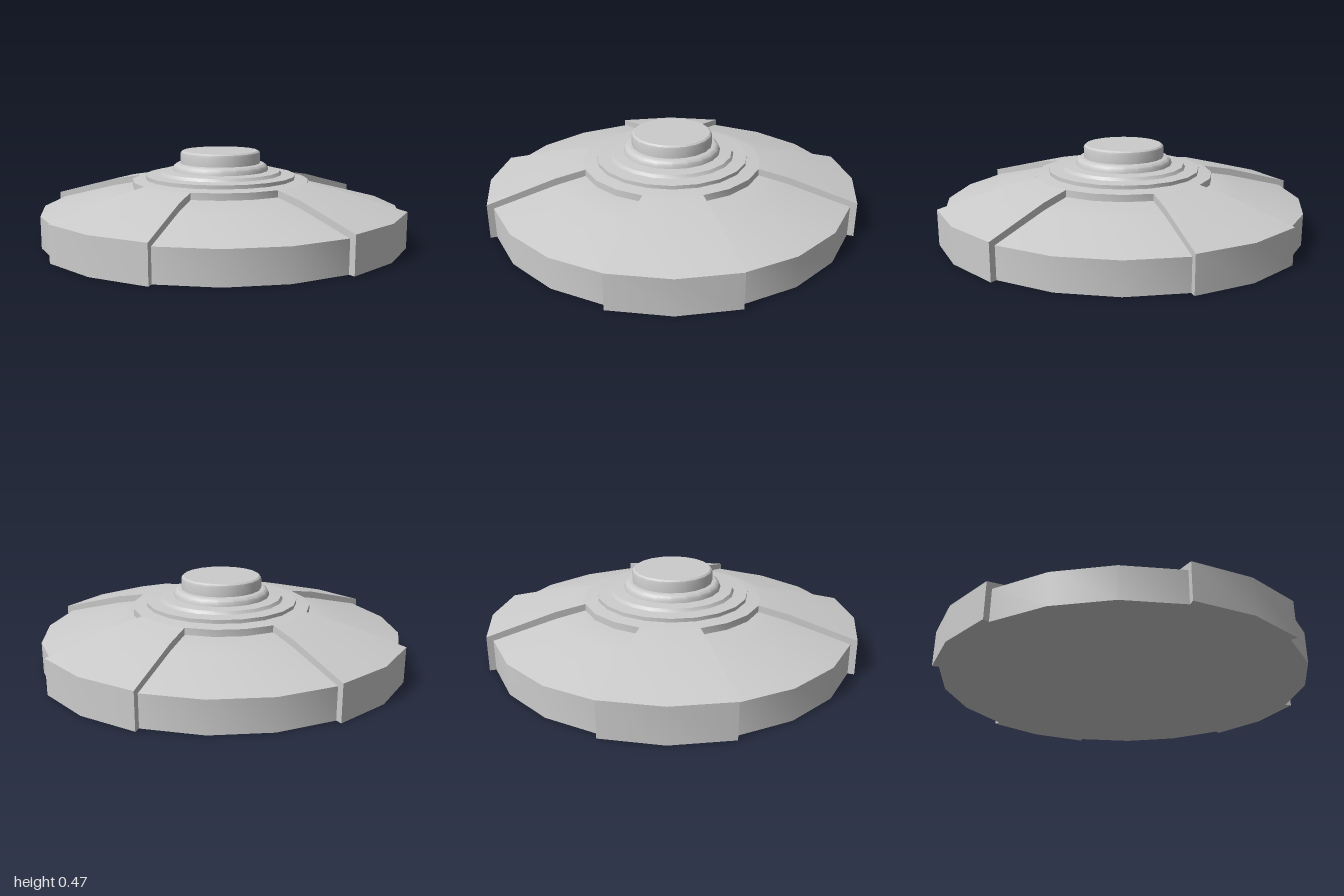
import * as THREE from 'three';
import { toCreasedNormals } from 'three/addons/utils/BufferGeometryUtils.js';

const SIDES = 20;
const STEP = (Math.PI * 2) / SIDES;

const material = new THREE.MeshStandardMaterial({ color: 0xcccccc });
const wallMaterial = new THREE.MeshStandardMaterial({ color: 0xcccccc, side: THREE.DoubleSide });

const toPoints = (profile) => profile.map(([r, y]) => new THREE.Vector2(r, y));

// Revolved part with sharp steps and smooth facets
function lathe(name, profile, segments = SIDES, start = 0) {
  const geometry = new THREE.LatheGeometry(toPoints(profile), segments, start, segments * STEP);
  const mesh = new THREE.Mesh(toCreasedNormals(geometry, Math.PI / 6), material);
  mesh.name = name;
  return mesh;
}

// Raised panel two facets wide, with a thin wall down to the body on either side
function raisedPanel(lower, upper) {
  const panel = new THREE.Group();
  panel.name = 'raisedPanel';
  panel.add(lathe('panelShell', [lower[0], ...upper], 2, -STEP));
  const section = new THREE.Shape(toPoints([...upper, ...[...lower].reverse()]));
  for (const side of [-1, 1]) {
    const wall = new THREE.Mesh(new THREE.ShapeGeometry(section), wallMaterial);
    wall.name = 'panelSideWall';
    wall.rotation.y = side * STEP - Math.PI / 2;
    panel.add(wall);
  }
  return panel;
}

export function createModel() {
  const model = new THREE.Group();
  model.name = 'steppedDisc';

  // Recessed body and the raised outline above it, as [radius, height]
  const lower = [[0.966, 0], [0.966, 0.166], [0.64, 0.25], [0.48, 0.28]];
  const upper = [[1, 0], [1, 0.19], [0.64, 0.288], [0.48, 0.316]];
  model.add(lathe('body', [[0, 0], ...lower, [0.46, 0.28]]));

  // Four raised panels, one on each axis
  for (let i = 0; i < 4; i++) {
    const panel = raisedPanel(lower, upper);
    panel.rotation.y = (i * Math.PI) / 2;
    model.add(panel);
  }

  // Central hub, stepping inwards
  model.add(lathe('hub', [[0.48, 0.275], [0.48, 0.316], [0.40, 0.324]]));
  model.add(lathe('hubRing', [
    [0.408, 0.318], [0.408, 0.343], [0.335, 0.347], [0.325, 0.363], [0.25, 0.368],
  ]));

  // Rounded collar and the bevelled button it holds
  model.add(lathe('collar', [
    [0.262, 0.362], [0.26, 0.376], [0.254, 0.392], [0.241, 0.403], [0.225, 0.406], [0.2, 0.406],
  ]));
  model.add(lathe('button', [
    [0.217, 0.4], [0.217, 0.456], [0.214, 0.466], [0.205, 0.473], [0, 0.473],
  ]));

  return model;
}
